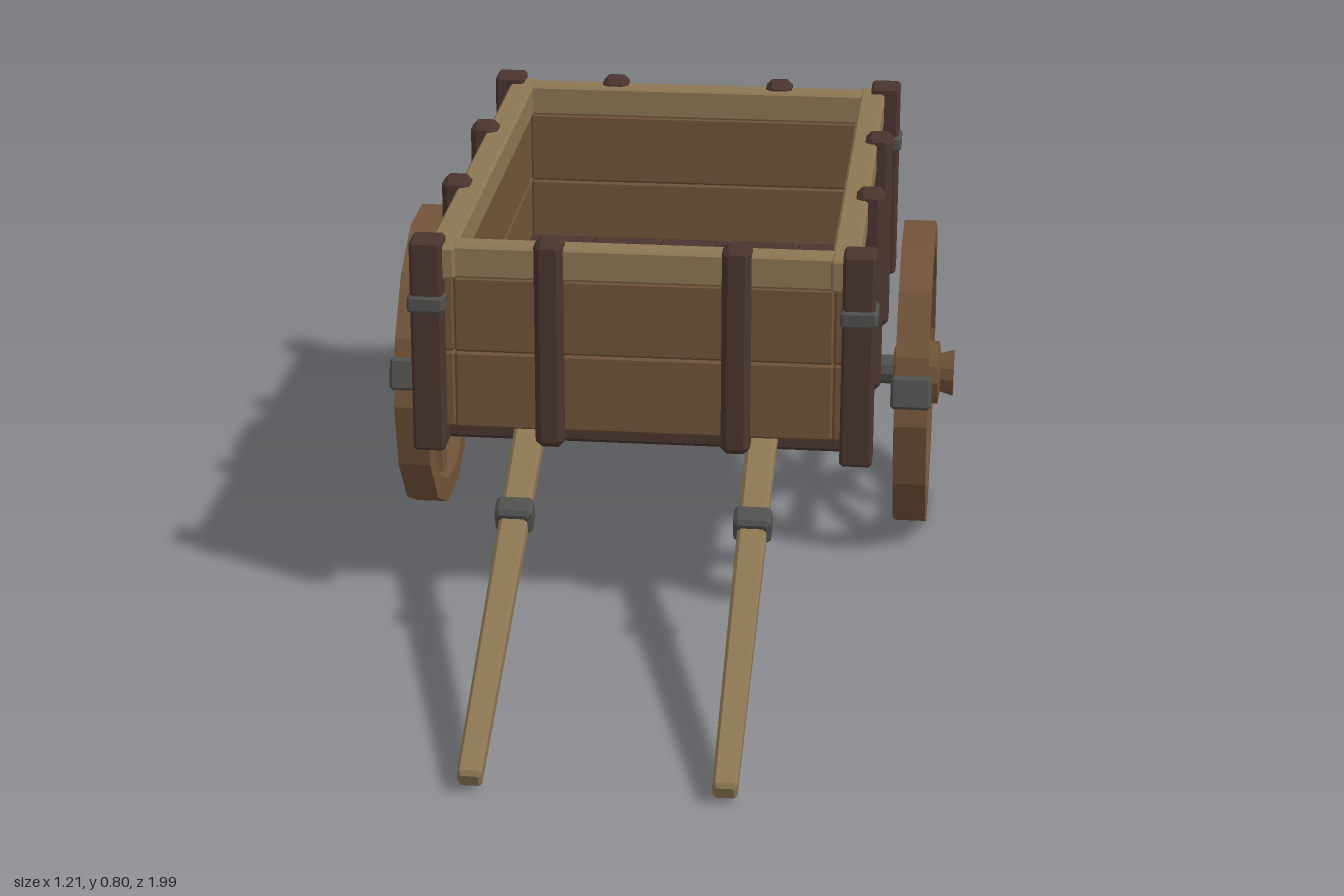
import * as THREE from 'three';

const mat = (name, color) => Object.assign(new THREE.MeshStandardMaterial({ color }), { name });

// Faceted normals
function facet(geo) {
  const g = geo.index ? geo.toNonIndexed() : geo;
  g.computeVertexNormals();
  return g;
}

// Box with chamfered edges; its cross-section can shrink towards +z by the factor taper
function beam(w, h, d, c = 0.006, taper = 1) {
  const x = w / 2, y = h / 2;
  const shape = new THREE.Shape([
    [x - c, -y], [x, c - y], [x, y - c], [x - c, y],
    [c - x, y], [-x, y - c], [-x, c - y], [c - x, -y],
  ].map(([a, b]) => new THREE.Vector2(a, b)));
  const g = new THREE.ExtrudeGeometry(shape, {
    depth: d - 2 * c, bevelEnabled: true, bevelThickness: c, bevelSize: c, bevelOffset: -c, bevelSegments: 1,
  });
  g.translate(0, 0, c - d / 2);
  const p = g.attributes.position;
  for (let i = 0; i < p.count; i++) {
    const s = 1 + (taper - 1) * (p.getZ(i) / d + 0.5);
    p.setX(i, p.getX(i) * s);
  }
  return facet(g);
}

export function createModel() {
  const dark = mat('darkWood', 0x4a352e);
  const wood = mat('plankWood', 0x705338);
  const light = mat('paleWood', 0x8c7653);
  const metal = mat('iron', 0x50504e);

  const model = new THREE.Group();
  model.name = 'handCart';
  const add = (parent, name, geo, material, x = 0, y = 0, z = 0) => {
    const m = new THREE.Mesh(geo, material);
    m.name = name;
    m.position.set(x, y, z);
    parent.add(m);
    return m;
  };

  const zMid = -0.382, zFront = 0.18, zBack = -0.942;

  // Floor boards
  for (let i = -2; i <= 2; i++)
    add(model, 'floorBoard', beam(0.154, 0.03, 1.1, 0.005), dark, i * 0.156, 0.415, zMid);

  // Plank walls with a pale top rail
  const rows = [[0.4, 0.561, wood, 0.04], [0.561, 0.718, wood, 0.04], [0.718, 0.785, light, 0.054]];
  rows.forEach(([y0, y1, m, t], i) => {
    const h = y1 - y0, y = (y0 + y1) / 2, name = i === 2 ? 'topRail' : 'wallPlank';
    for (const s of [1, -1])
      add(model, 'side' + name, beam(t, h, i === 2 ? 1.2 : 1.16, 0.005), m, s * 0.396, y, zMid);
    for (const z of [zFront, zBack])
      add(model, 'end' + name, beam(0.752, h, t, 0.005), m, 0, y, z);
  });

  // Posts and corner straps
  for (const s of [1, -1]) {
    for (const z of [0.2, -0.964]) {
      add(model, 'cornerPost', beam(0.064, 0.44, 0.068, 0.006), dark, s * 0.425, 0.58, z);
      add(model, 'cornerStrap', beam(0.074, 0.036, 0.074, 0.006), metal, s * 0.426, 0.67, z + (z > 0 ? 0.002 : 0.001));
    }
    for (const z of [-0.19, -0.58])
      add(model, 'sidePost', beam(0.058, 0.432, 0.06, 0.012), dark, s * 0.427, 0.585, z);
    for (const z of [0.19, -0.96])
      add(model, 'endPost', beam(0.058, 0.432, 0.058, 0.012), dark, s * 0.185, 0.585, z);
  }

  // Cross beam and axle
  add(model, 'crossBeam', beam(0.86, 0.052, 0.058, 0.008), dark, 0, 0.342, 0.022);
  add(model, 'axle', beam(0.87, 0.07, 0.07, 0.01), dark, 0, 0.321, -0.42);

  // Shafts: a rail under the floor and a sloping handle
  const start = new THREE.Vector2(0.1, 0.393), end = new THREE.Vector2(0.99, 0.025);
  const angle = Math.atan2(start.y - end.y, end.x - start.x);
  for (const s of [1, -1]) {
    add(model, 'shaftRail', beam(0.058, 0.04, 1.03, 0.006), light, s * 0.233, 0.382, -0.365);
    const handle = add(model, 'shaftHandle', beam(0.062, 0.042, start.distanceTo(end), 0.008, 0.74), light,
      s * 0.234, (start.y + end.y) / 2, (start.x + end.x) / 2);
    handle.rotation.x = angle;
    const band = add(model, 'shaftBand', beam(0.074, 0.06, 0.052, 0.008), metal, s * 0.234, 0.289, 0.37);
    band.rotation.x = angle;
  }

  // Wheels
  const ring = (r) => Array.from({ length: 14 }, (_, k) => {
    const a = k * Math.PI / 7;
    return new THREE.Vector2(Math.cos(a) * r, Math.sin(a) * r);
  });
  const rimShape = new THREE.Shape(ring(0.326));
  rimShape.holes.push(new THREE.Path(ring(0.276)));
  const rimGeo = facet(new THREE.ExtrudeGeometry(rimShape, { depth: 0.068, bevelEnabled: false }).translate(0, 0, -0.034));
  const hubGeo = facet(new THREE.LatheGeometry([
    [0, -0.046], [0.05, -0.046], [0.068, -0.03], [0.068, 0.05], [0.042, 0.054], [0.05, 0.082], [0.034, 0.082], [0.03, 0.076], [0, 0.076],
  ].map(([r, y]) => new THREE.Vector2(r, y)), 12).rotateX(Math.PI / 2));
  // Spokes run along +x and are narrower at the hub
  const spokeGeo = beam(0.044, 0.034, 0.23, 0.004, 0.68).rotateX(-Math.PI / 2).rotateZ(Math.PI / 2);

  for (const s of [1, -1]) {
    const wheel = new THREE.Group();
    wheel.name = s > 0 ? 'leftWheel' : 'rightWheel';
    wheel.position.set(s * 0.522, 0.318, -0.425);
    wheel.rotation.y = s * Math.PI / 2;
    model.add(wheel);
    add(wheel, 'rim', rimGeo, wood);
    add(wheel, 'hub', hubGeo, wood);
    for (let k = 0; k < 8; k++) {
      const a = k * Math.PI / 4;
      const spoke = add(wheel, 'spoke', spokeGeo, wood, Math.cos(a) * 0.17, Math.sin(a) * 0.17, 0);
      // Keep the wide end at the rim
      spoke.rotation.z = a;
    }
    // Iron clamp on the front of the rim
    const a = s > 0 ? Math.PI * 13 / 14 : Math.PI / 14;
    const clamp = add(wheel, 'rimClamp', beam(0.036, 0.068, 0.084, 0.006), metal, Math.cos(a) * 0.319, Math.sin(a) * 0.319, 0);
    clamp.rotation.z = a;
    // Iron collar between axle and hub
    add(model, 'axleCollar', facet(new THREE.CylinderGeometry(0.031, 0.031, 0.07, 10).rotateZ(Math.PI / 2)), metal,
      s * 0.455, 0.321, -0.425);
  }
  return model;
}
